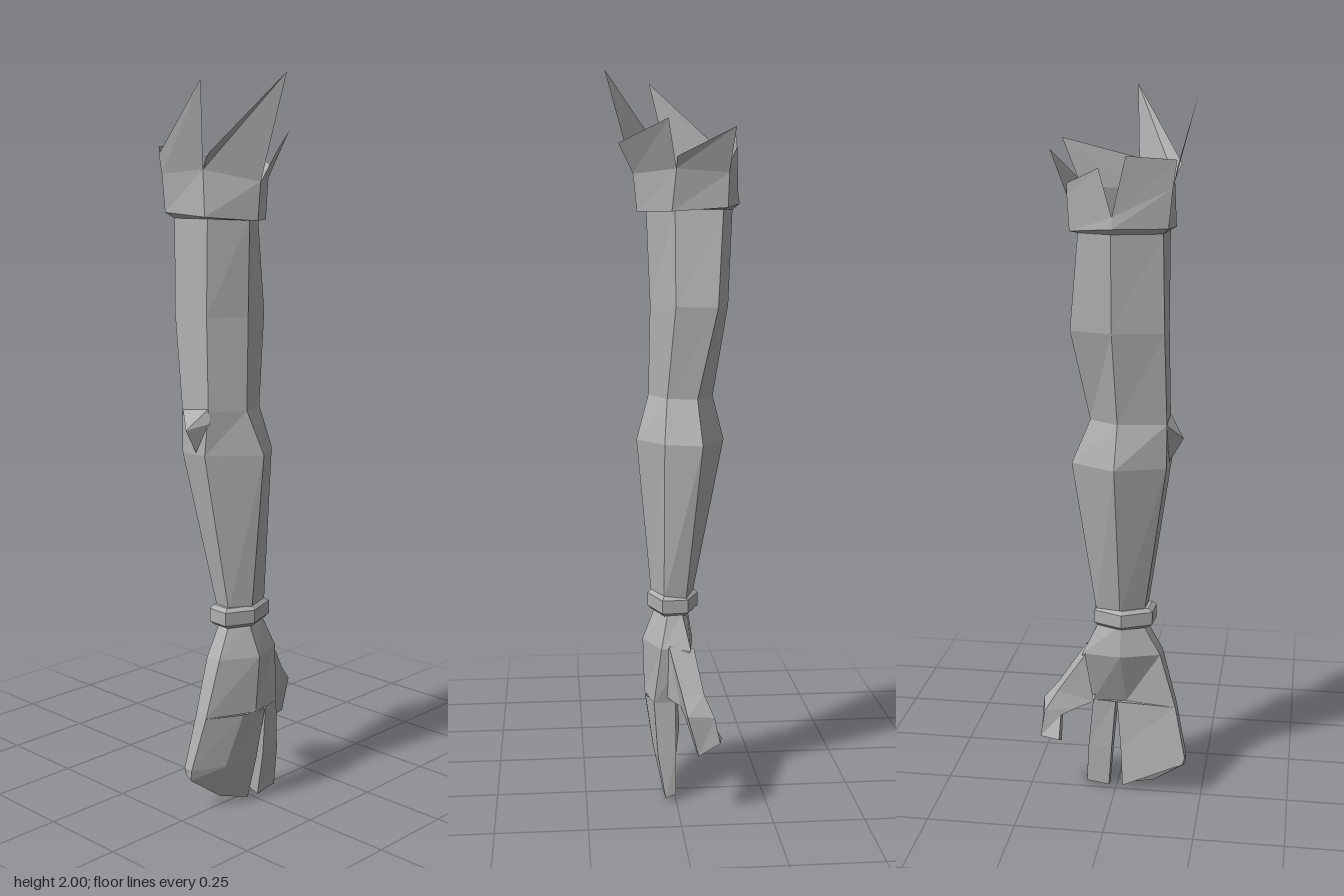
import * as THREE from 'three';

const grey = new THREE.MeshStandardMaterial({ color: 0xb0b0b0, flatShading: true, side: THREE.DoubleSide });
grey.name = 'plain grey';

function meshFrom(name, points) {
  const geometry = new THREE.BufferGeometry();
  geometry.setAttribute('position', new THREE.Float32BufferAttribute(points.flat(), 3));
  geometry.computeVertexNormals();
  const mesh = new THREE.Mesh(geometry, grey);
  mesh.name = name;
  return mesh;
}

// Corners run counter-clockwise as seen from outside
const quad = (a, b, c, d) => [a, b, c, a, c, d];

// Skin between rings listed from top to bottom, each ring counter-clockwise from above
function loft(name, rings, capTop = false, capBottom = false) {
  const out = [];
  for (let r = 0; r < rings.length - 1; r++) {
    const a = rings[r], b = rings[r + 1];
    a.forEach((_, i) => {
      const j = (i + 1) % a.length;
      out.push(...quad(b[i], b[j], a[j], a[i]));
    });
  }
  const top = rings[0], low = rings[rings.length - 1];
  for (let i = 1; i < top.length - 1; i++) {
    if (capTop) out.push(top[0], top[i], top[i + 1]);
    if (capBottom) out.push(low[0], low[i + 1], low[i]);
  }
  return meshFrom(name, out);
}

// A level ring from [x, z] pairs
const level = (y, pairs) => pairs.map(([x, z]) => [x, y, z]);

export function createModel() {
  const group = new THREE.Group();
  group.name = 'arm';

  // Six-sided sleeve; corners: front-left, front-right, right, back-right, back-left, left
  const armTop = level(1.635, [[-0.125, 0.14], [0.005, 0.145], [0.07, 0.055], [0, -0.05], [-0.125, -0.08], [-0.16, 0.01]]);
  group.add(loft('sleeve', [
    armTop,
    level(1.38, [[-0.12, 0.145], [0, 0.145], [0.06, 0.05], [0, -0.075], [-0.11, -0.105], [-0.15, 0.01]]),
    level(1.13, [[-0.09, 0.15], [0.01, 0.15], [0.065, 0.06], [0.02, -0.035], [-0.06, -0.06], [-0.11, 0.02]]),
    level(1.01, [[-0.09, 0.15], [0, 0.155], [0.1, 0.03], [0.03, -0.075], [-0.07, -0.11], [-0.14, 0.015]]),
    level(0.57, [[-0.025, 0.085], [0.025, 0.09], [0.06, 0.035], [0.03, -0.045], [-0.03, -0.05], [-0.055, 0.02]])
  ]));

  // Pointed pad on the front of the joint
  const tip = [-0.035, 1.08, 0.19];
  const padRim = [[-0.09, 1.13, 0.148], [-0.035, 1.01, 0.15], [0.015, 1.1, 0.148], [0.01, 1.14, 0.148]];
  group.add(meshFrom('jointPad', padRim.flatMap((p, i) => [p, padRim[(i + 1) % 4], tip])));

  // Cuff: ledge and band round the upper arm
  const cuffLow = [[-0.145, 1.65, 0.155], [0.01, 1.64, 0.16], [0.095, 1.63, 0.05], [0.01, 1.63, -0.07], [-0.135, 1.64, -0.1], [-0.18, 1.65, 0.015]];
  const cuffMid = [[-0.145, 1.75, 0.165], [0, 1.76, 0.155], [0.105, 1.73, 0.05], [0, 1.74, -0.09], [-0.137, 1.73, -0.105], [-0.176, 1.68, 0.015]];
  group.add(loft('cuff', [cuffMid, cuffLow, armTop]));

  // Pointed flaps flaring from the cuff, one per side: start and end of the top edge
  const flapTops = [
    [[-0.145, 1.8, 0.175], [0.05, 1.98, 0.21]],
    [[0.035, 1.8, 0.17], [0.18, 2, 0.035]],
    [[0.145, 1.81, 0.03], [0.025, 1.865, -0.145]],
    [[0, 1.77, -0.105], [-0.15, 1.845, -0.145]],
    [[-0.14, 1.76, -0.105], [-0.168, 1.8, -0.02]],
    [[-0.176, 1.83, 0.05], [-0.145, 1.82, 0.175]]
  ];
  flapTops.forEach(([start, end], i) => {
    group.add(meshFrom('cuffFlap' + (i + 1), quad(cuffMid[i], cuffMid[(i + 1) % 6], end, start)));
  });

  // Wrist band
  const band = [[-0.03, 0.108], [0.035, 0.113], [0.07, 0.035], [0.035, -0.06], [-0.035, -0.055], [-0.07, 0.025]];
  const bandInner = band.map(([x, z]) => [x * 0.85, (z - 0.03) * 0.85 + 0.03]);
  group.add(loft('wristBand', [level(0.582, bandInner), level(0.572, band), level(0.535, band), level(0.525, bandInner)], true, true));

  // Palm
  group.add(loft('palm', [
    level(0.53, [[-0.02, 0.08], [0.02, 0.085], [0.05, 0.035], [0.02, -0.045], [-0.02, -0.045], [-0.04, 0.02]]),
    level(0.44, [[-0.02, 0.13], [0.03, 0.132], [0.085, 0.03], [0.04, -0.08], [-0.04, -0.09], [-0.055, 0.02]]),
    level(0.28, [[-0.02, 0.175], [0.02, 0.175], [0.08, 0.04], [0.06, -0.065], [0, -0.065], [0.005, 0.03]])
  ], true, true));

  // Broad block of joined fingers
  group.add(loft('joinedFingers', [
    level(0.28, [[-0.02, 0.175], [0.02, 0.175], [0.072, 0.08], [0.08, 0.003], [0.005, 0.003]]),
    level(0.13, [[-0.035, 0.205], [-0.005, 0.207], [0.04, 0.12], [0.058, 0.014], [0.005, 0.014]]),
    [[-0.035, 0.11, 0.2], [-0.01, 0.1, 0.205], [0.01, 0.03, 0.11], [0.03, 0.005, 0.02], [0, 0.01, 0.02]]
  ], false, true));

  // Separate index finger
  group.add(loft('indexFinger', [
    level(0.285, [[0.005, 0], [0.08, 0], [0.06, -0.065], [0, -0.065]]),
    level(0.13, [[0, -0.012], [0.058, -0.012], [0.05, -0.08], [0, -0.08]]),
    [[0, 0.01, -0.02], [0.03, 0, -0.02], [0.03, 0.01, -0.09], [0, 0.02, -0.085]]
  ], false, true));

  // Thumb bending out and down
  group.add(loft('thumb', [
    [[0.02, 0.45, -0.085], [-0.05, 0.44, -0.08], [-0.055, 0.3, -0.055], [0.03, 0.3, -0.06]],
    [[-0.01, 0.335, -0.165], [-0.07, 0.335, -0.155], [-0.07, 0.285, -0.1], [-0.01, 0.285, -0.11]],
    [[-0.02, 0.29, -0.205], [-0.095, 0.28, -0.19], [-0.085, 0.265, -0.145], [-0.02, 0.265, -0.15]],
    [[-0.05, 0.18, -0.21], [-0.11, 0.21, -0.2], [-0.12, 0.205, -0.145], [-0.05, 0.17, -0.15]]
  ], false, true));

  return group;
}
